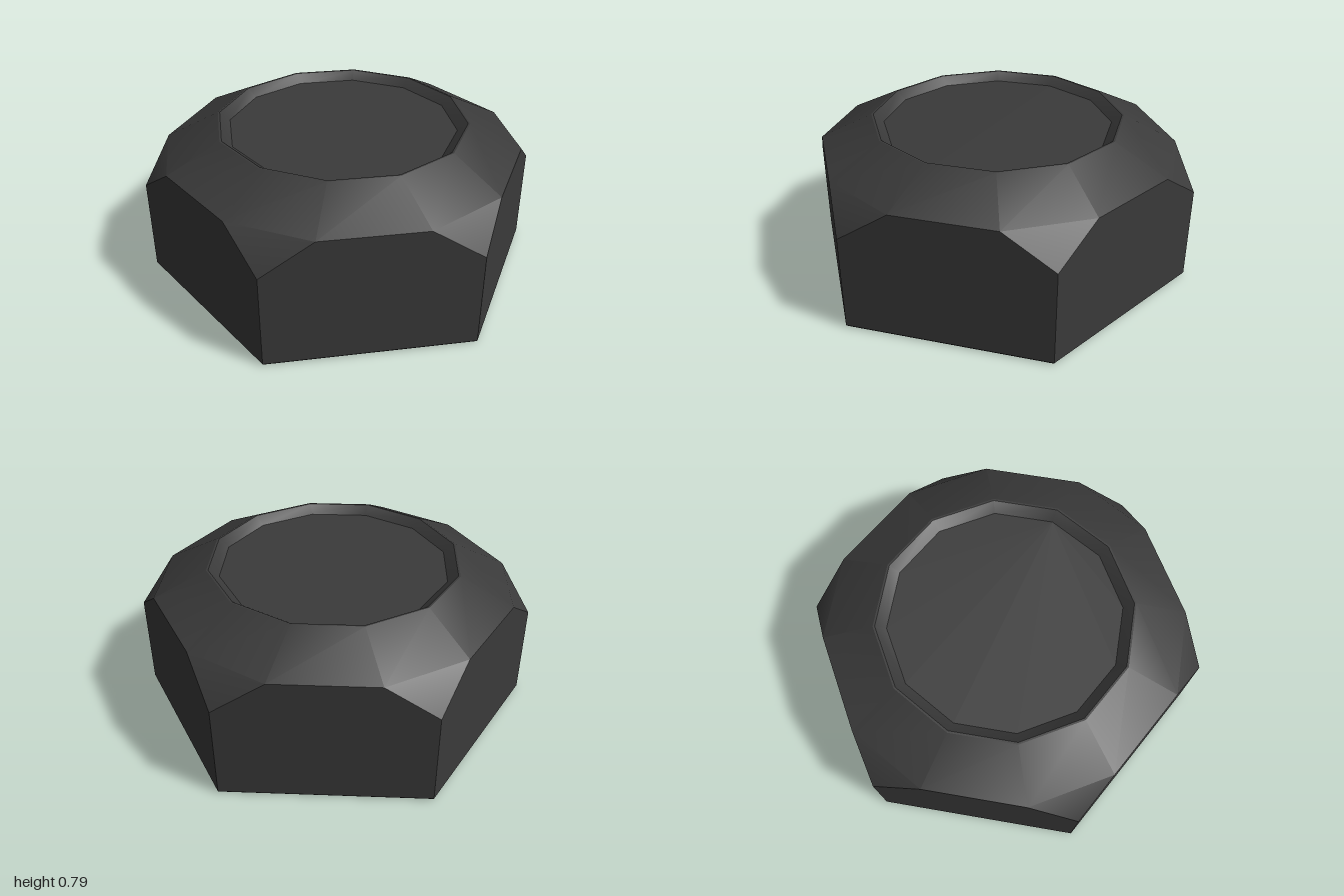
import * as THREE from 'three';
import { toCreasedNormals } from 'three/addons/utils/BufferGeometryUtils.js';

// Ring of points, counter-clockwise seen from above
const ring = (angles, radius, y) => angles.map((deg) => {
  const a = THREE.MathUtils.degToRad(deg);
  return [radius * Math.cos(a), y, -radius * Math.sin(a)];
});

// Convex polygon as a triangle fan
function face(out, ...pts) {
  for (let i = 1; i < pts.length - 1; i++) out.push(...pts[0], ...pts[i], ...pts[i + 1]);
}

// Band of quads from one ring to the next one up or inward
function band(out, lower, upper) {
  lower.forEach((p, i) => {
    const j = (i + 1) % lower.length;
    face(out, p, lower[j], upper[j], upper[i]);
  });
}

function makeMesh(name, positions, material) {
  const geo = new THREE.BufferGeometry();
  geo.setAttribute('position', new THREE.Float32BufferAttribute(positions, 3));
  const mesh = new THREE.Mesh(toCreasedNormals(geo, 0.46), material);
  mesh.name = name;
  return mesh;
}

export function createModel() {
  const group = new THREE.Group();
  group.name = 'hexBoltHead';
  const material = new THREE.MeshStandardMaterial({ color: 0x3a3a3a });

  const hex = Array.from({ length: 6 }, (_, i) => i * 60);
  const twelve = Array.from({ length: 12 }, (_, i) => 15 + i * 30);
  const base = ring(hex, 0.99, 0);
  const foot = ring(hex, 1, 0.01);
  const corner = ring(hex, 1, 0.485);
  // Two shoulder points on every flat, 0.25 either side of its middle
  const shoulder = ring(hex.flatMap((a) => [a + 13.9, a + 46.1]), 0.9014, 0.65);
  const crown = ring(twelve, 0.636, 0.785);
  const lip = ring(twelve, 0.626, 0.785);
  const floor = ring(twelve, 0.575, 0.745);

  // Hexagonal body: underside, small bottom bevel and six-sided flats
  const body = [];
  face(body, ...[...base].reverse());
  band(body, base, foot);
  for (let k = 0; k < 6; k++) {
    const n = (k + 1) % 6;
    face(body, foot[k], foot[n], corner[n], shoulder[2 * k + 1], shoulder[2 * k], corner[k]);
  }

  // Sloped chamfer with a triangle dropping to each corner, and the thin rim
  const chamfer = [];
  for (let k = 0; k < 6; k++) face(chamfer, shoulder[(2 * k + 11) % 12], corner[k], shoulder[2 * k]);
  band(chamfer, shoulder, crown);
  band(chamfer, crown, lip);

  // Shallow twelve-sided recess in the top
  const recess = [];
  band(recess, lip, floor);
  face(recess, ...floor);

  group.add(
    makeMesh('hexBody', body, material),
    makeMesh('chamfer', chamfer, material),
    makeMesh('topRecess', recess, material),
  );
  return group;
}
